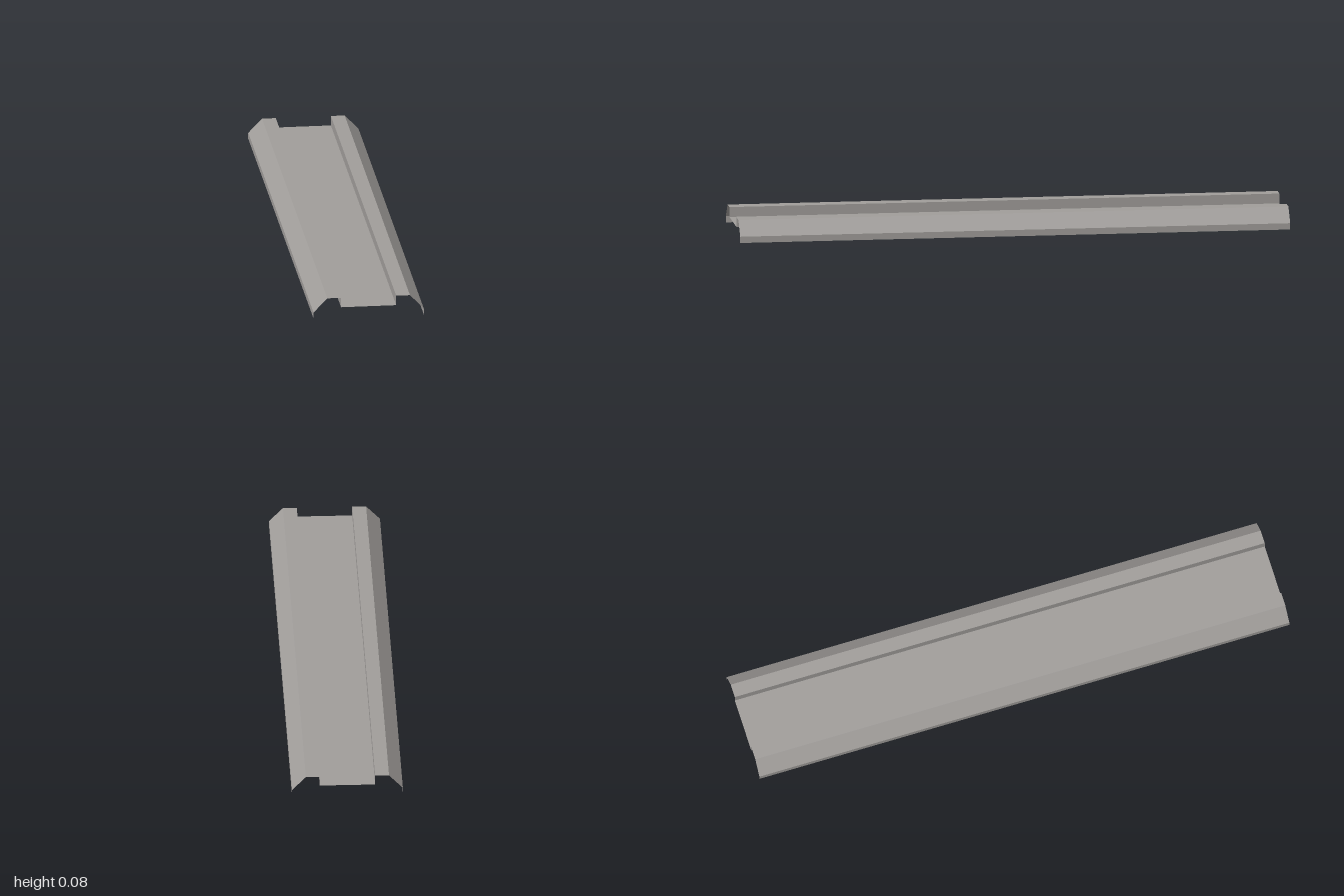
import * as THREE from 'three';

const LENGTH = 2;

// Half profile of the folded sheet, from the centre out to the lip: [x, y]
const halfProfile = [
  [0.1, 0.039],   // edge of the channel floor
  [0.1, 0.075],   // top of the channel wall
  [0.15, 0.075],  // outer edge of the flat ridge
  [0.2, 0.023],   // foot of the slope
  [0.2, 0],       // bottom of the lip
];
const partNames = ['ChannelWall', 'Ridge', 'Slope', 'Lip'];

// A flat strip between two profile points, running the full length
function strip(name, [x0, y0], [x1, y1], material) {
  const geometry = new THREE.PlaneGeometry(Math.hypot(x1 - x0, y1 - y0), LENGTH);
  geometry.rotateX(-Math.PI / 2);
  geometry.rotateZ(Math.atan2(y1 - y0, x1 - x0));
  geometry.translate((x0 + x1) / 2, (y0 + y1) / 2, 0);
  const mesh = new THREE.Mesh(geometry, material);
  mesh.name = name;
  return mesh;
}

export function createModel() {
  const steel = new THREE.MeshStandardMaterial({ color: 0xa09d9a });
  steel.name = 'galvanised steel';
  steel.side = THREE.DoubleSide;

  const group = new THREE.Group();
  group.name = 'foldedSheetProfile';

  // Channel floor
  const [fx, fy] = halfProfile[0];
  group.add(strip('channelFloor', [-fx, fy], [fx, fy], steel));

  // Wall, ridge, slope and lip on each side, ordered so the upper face is the front
  partNames.forEach((part, i) => {
    const a = halfProfile[i], b = halfProfile[i + 1];
    group.add(strip('left' + part, a, b, steel));
    group.add(strip('right' + part, [-b[0], b[1]], [-a[0], a[1]], steel));
  });

  return group;
}
